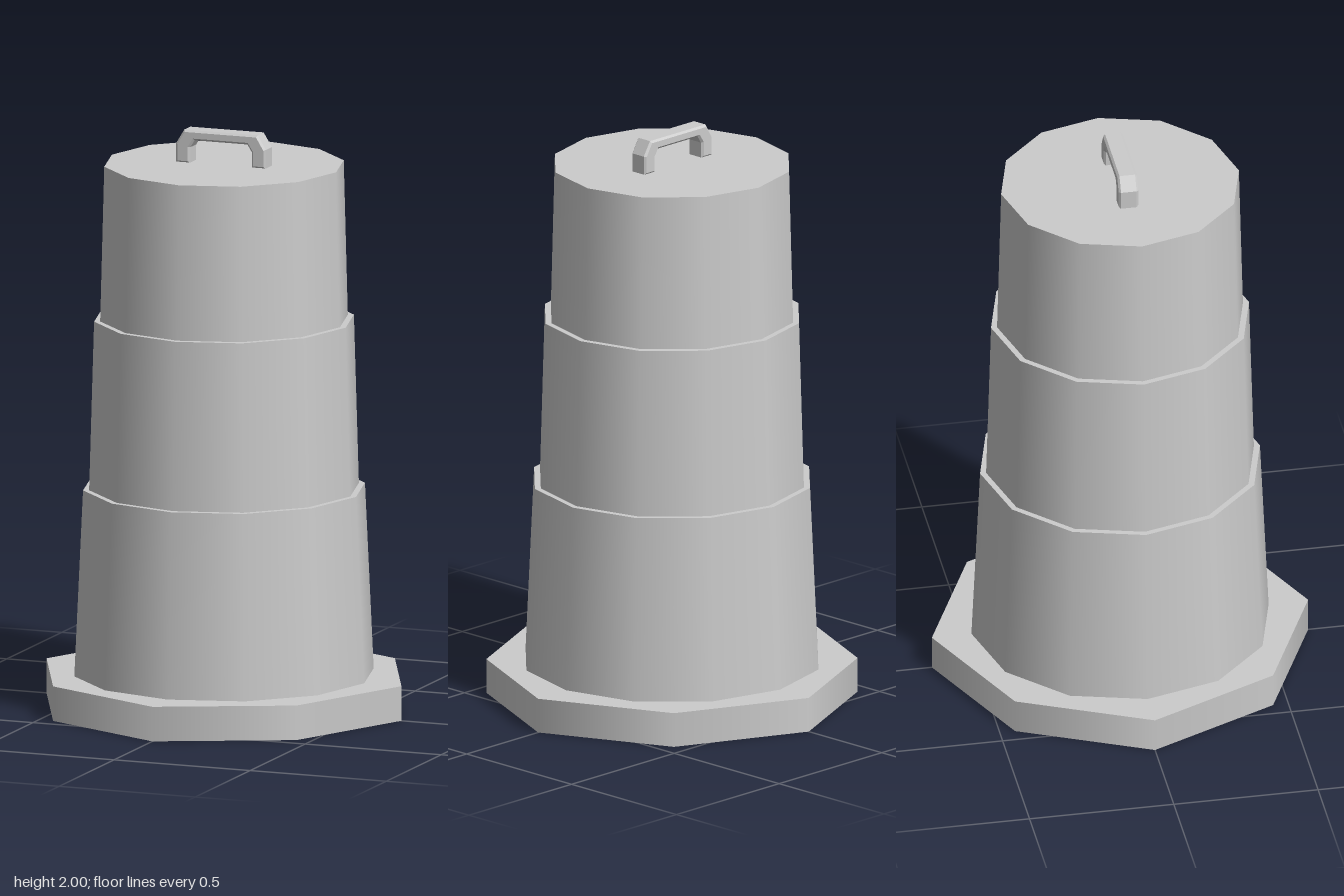
import * as THREE from 'three';

export function createModel() {
  const group = new THREE.Group();
  const material = new THREE.MeshStandardMaterial({ color: 0xcccccc });
  const add = (name, geometry, y = 0) => {
    const mesh = new THREE.Mesh(geometry, material);
    mesh.name = name;
    mesh.position.y = y;
    group.add(mesh);
  };

  // Eight-sided foot, its diagonal corners drawn in slightly
  const foot = new THREE.CylinderGeometry(0.652, 0.652, 0.12, 8);
  const p = foot.attributes.position;
  for (let i = 0; i < p.count; i++) {
    const x = p.getX(i), z = p.getZ(i);
    if (Math.abs(x * z) > 0.01) p.setXYZ(i, x * 0.97, p.getY(i), z * 0.97);
  }
  add('base', foot, 0.06);

  // Stacked tapering tiers: [name, bottom y, top y, bottom radius, top radius]
  const tiers = [
    ['lowerBody', 0.12, 0.765, 0.515, 0.485],
    ['middleBody', 0.765, 1.35, 0.464, 0.447],
    ['upperBody', 1.35, 1.887, 0.426, 0.412],
  ];
  for (const [name, y0, y1, r0, r1] of tiers) {
    add(name, new THREE.CylinderGeometry(r1, r0, y1 - y0, 12), (y0 + y1) / 2);
  }

  // Carrying handle: chamfered arch with bevelled edges
  const half = [[0.165, 0], [0.165, 0.066], [0.135, 0.115], [0.097, 0.08], [0.113, 0.055], [0.113, 0]];
  const outer = half.slice(0, 3), inner = half.slice(3);
  const mirror = (pts) => pts.map(([x, y]) => [-x, y]).reverse();
  const outline = [...outer, ...mirror(outer), ...mirror(inner), ...inner];
  const shape = new THREE.Shape(outline.map(([x, y]) => new THREE.Vector2(x, y)));
  const handle = new THREE.ExtrudeGeometry(shape, {
    depth: 0.054, bevelEnabled: true, bevelSegments: 1,
    bevelThickness: 0.007, bevelSize: 0.007, bevelOffset: -0.007,
  });
  handle.translate(0, 0, -0.027);
  add('handle', handle, 1.885);

  return group;
}
